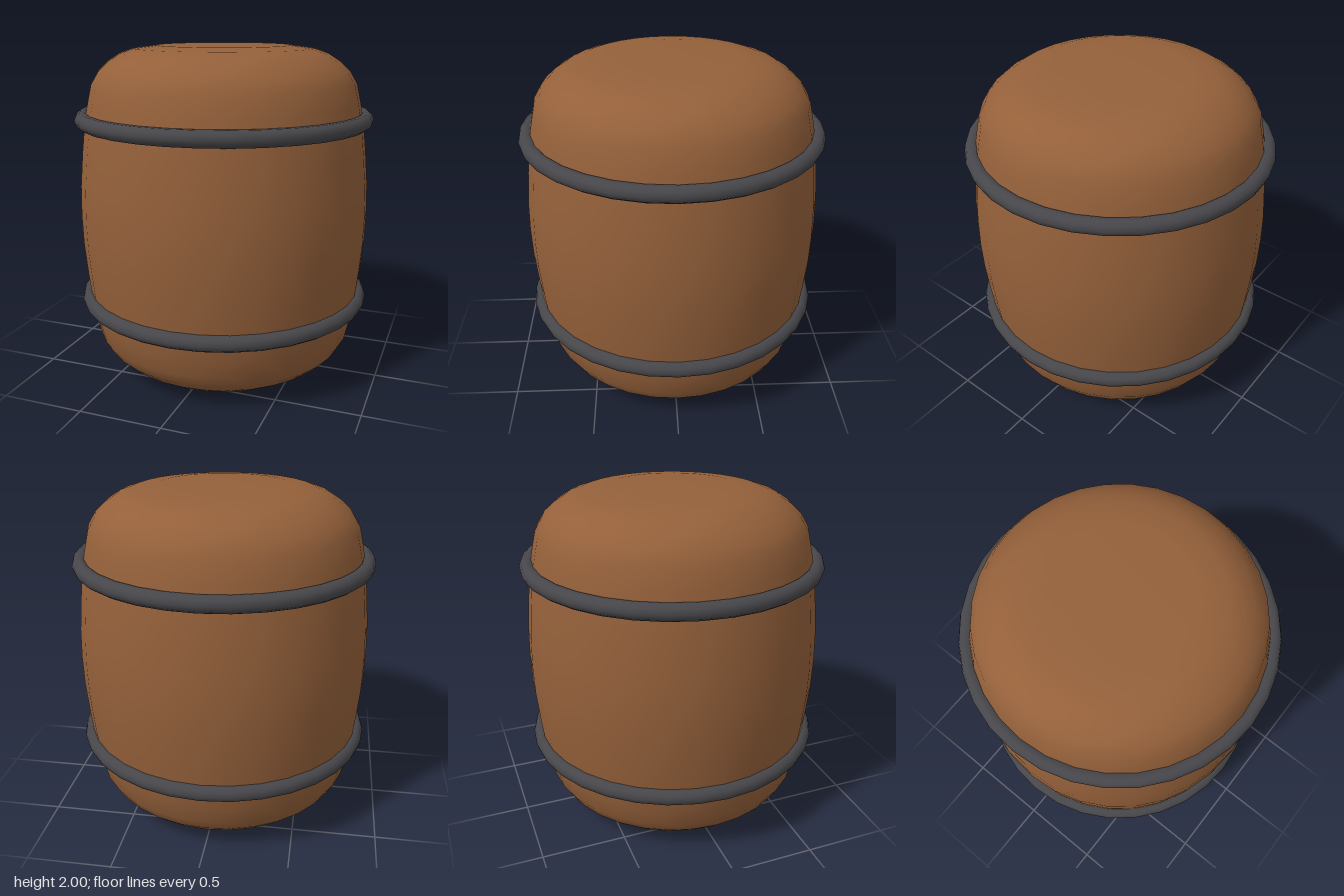
import * as THREE from 'three';

export function createModel() {
  const barrel = new THREE.Group();
  barrel.name = 'barrel';

  const wood = new THREE.MeshStandardMaterial({ name: 'brown wood', color: 0x94603a });
  const iron = new THREE.MeshStandardMaterial({ name: 'dark iron', color: 0x47474b });

  // Half profile [radius, y] from the base to the widest point, mirrored for the top
  const lower = [
    [0, 0.005], [0.4, 0.008], [0.54, 0.018], [0.62, 0.045], [0.69, 0.09],
    [0.75, 0.145], [0.795, 0.22], [0.82, 0.33], [0.84, 0.43], [0.862, 0.62], [0.88, 0.82],
  ];
  const upper = lower.map(([r, y]) => [r, 2 - y]).reverse();
  upper[upper.length - 1][1] = 2;
  upper[upper.length - 2][1] = 2;
  const profile = [...lower, [0.885, 1], ...upper].map(([r, y]) => new THREE.Vector2(r, y));
  const body = new THREE.Mesh(new THREE.LatheGeometry(profile, 32), wood);
  body.name = 'woodenBody';
  barrel.add(body);

  // Iron hoops
  const hoopGeometry = new THREE.TorusGeometry(0.853, 0.048, 10, 32).rotateX(Math.PI / 2);
  for (const [name, y] of [['lowerHoop', 0.462], ['upperHoop', 1.573]]) {
    const hoop = new THREE.Mesh(hoopGeometry, iron);
    hoop.name = name;
    hoop.position.y = y;
    barrel.add(hoop);
  }

  return barrel;
}
